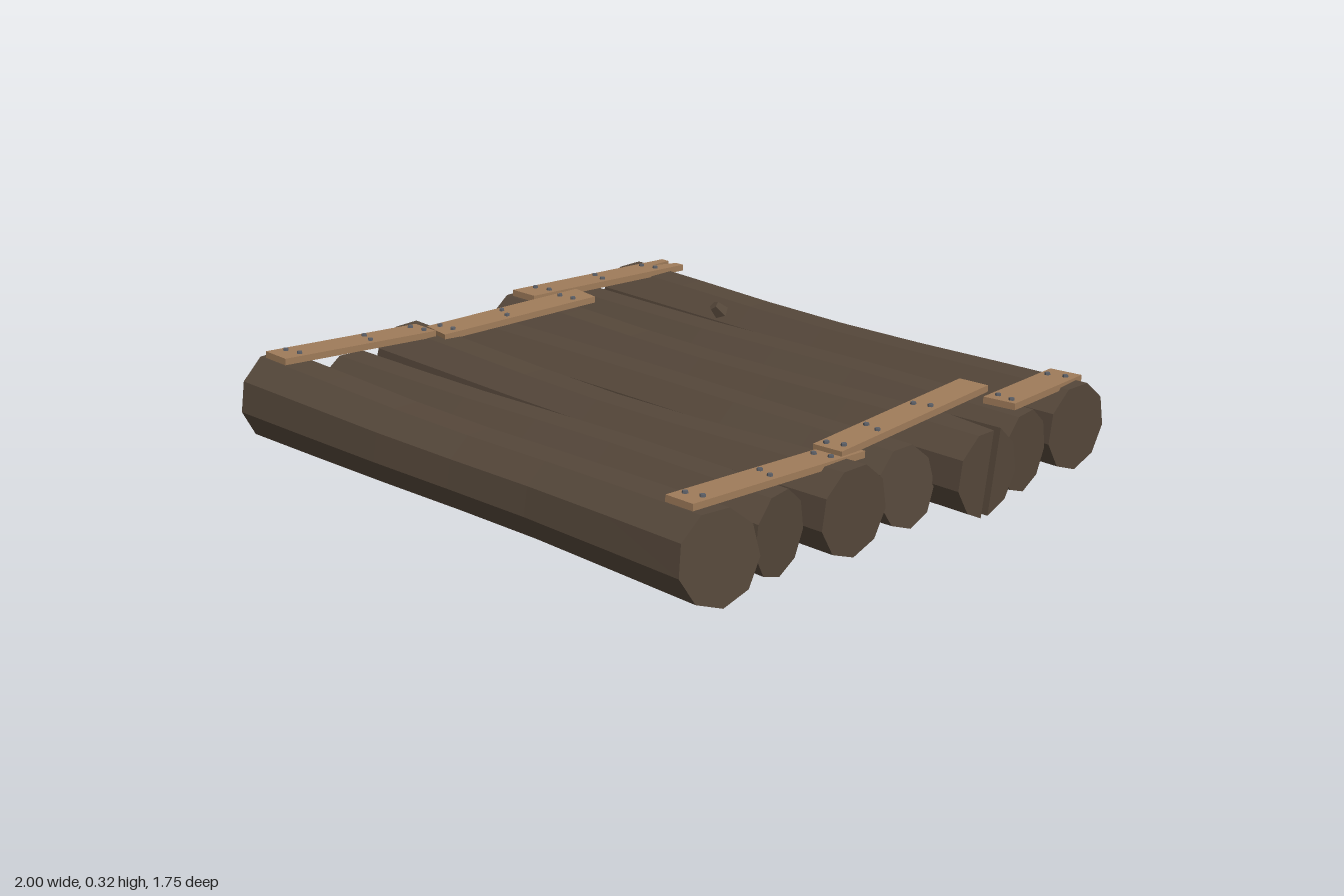
import * as THREE from 'three';

const SIDES = 9;
const bark = new THREE.MeshStandardMaterial({ color: 0x55473a, flatShading: true });
const timber = new THREE.MeshStandardMaterial({ color: 0xa07c5a, flatShading: true });
const iron = new THREE.MeshStandardMaterial({ color: 0x5c5f66, flatShading: true });

function addMesh(parent, name, geometry, material) {
  const mesh = new THREE.Mesh(geometry, material);
  mesh.name = name;
  parent.add(mesh);
  return mesh;
}

// Smooth value at t along evenly spaced control values
const sample = (values, t) =>
  new THREE.SplineCurve(values.map((v) => new THREE.Vector2(v, 0))).getPoint(t).x;

// Skin a list of equal-length rings running towards +x, with flat caps
function loft(rings) {
  const pos = [];
  const tri = (...p) => p.forEach((v) => pos.push(v.x, v.y, v.z));
  const n = rings[0].length;
  for (let i = 0; i < rings.length - 1; i++) {
    const a = rings[i], b = rings[i + 1];
    for (let j = 0; j < n; j++) {
      const k = (j + 1) % n;
      tri(a[j], b[j], a[k]);
      tri(a[k], b[j], b[k]);
    }
  }
  const first = rings[0], last = rings[rings.length - 1];
  for (let j = 1; j < n - 1; j++) {
    tri(first[0], first[j], first[j + 1]);
    tri(last[0], last[j + 1], last[j]);
  }
  const g = new THREE.BufferGeometry();
  g.setAttribute('position', new THREE.Float32BufferAttribute(pos, 3));
  g.computeVertexNormals();
  return g;
}

// One log section; the cut can lean with height and depth
function ring(x, y, z, r, [leanY, leanZ]) {
  return Array.from({ length: SIDES }, (_, j) => {
    const a = (j / SIDES) * Math.PI * 2;
    const dy = -Math.cos(a), dz = Math.sin(a);
    return new THREE.Vector3(x + leanY * dy + leanZ * dz, y + r * dy, z + r * dz);
  });
}

// A log from end to end, bending through z and y while its radius changes
function makeLog(name, x0, x1, z, r, y, leftLean, rightLean) {
  const log = new THREE.Group();
  log.name = name;
  const section = (t, lean) => ring(
    THREE.MathUtils.lerp(x0, x1, t), sample(y, t), sample(z, t), sample(r, t), lean);
  const rings = [section(0, leftLean)];
  for (let i = 1; i < 6; i++) rings.push(section(i / 6, [0, 0]));
  rings.push(section(1, rightLean));
  addMesh(log, 'trunk', loft(rings), bark);
  return { log, end: rings[6] };
}

// Continue a log end as two prongs with a wedge-shaped gap between them
function addSplitEnd(log, end, length) {
  [[0, 1, 2, 3, 4, 5], [5, 6, 7, 8, 0]].forEach((ids, side) => {
    const tip = ids.map((i) => {
      const p = end[i].clone();
      p.x += length;
      if (i === 0 || i === 5) p.z += side ? -0.008 : 0.022;
      return p;
    });
    addMesh(log, 'splitProng', loft([ids.map((i) => end[i]), tip]), bark);
  });
}

// A board between two [x, z] ends at heights y0 and y1, nailed in pairs at the given fractions
function makePlank(name, [x0, z0], [x1, z1], y0, y1, width, nailRows, notch = 0) {
  const plank = new THREE.Group();
  plank.name = name;
  const length = Math.hypot(x1 - x0, z1 - z0), h = width / 2, thick = 0.02;

  // Outline runs along local +z; a notch cuts a V into the starting end
  const shape = new THREE.Shape();
  shape.moveTo(-h, 0);
  shape.lineTo(-h, -length);
  shape.lineTo(h, -length);
  shape.lineTo(h, 0);
  if (notch) {
    shape.lineTo(h * 0.35, 0);
    shape.lineTo(-h * 0.15, -notch);
    shape.lineTo(-h * 0.4, 0);
  }
  const geo = new THREE.ExtrudeGeometry(shape, { depth: thick, bevelEnabled: false });
  geo.rotateX(-Math.PI / 2);
  addMesh(plank, 'board', geo, timber);

  // Nail heads, slightly staggered
  nailRows.forEach((t, row) => [-1, 1].forEach((s) => {
    const nail = addMesh(plank, 'nail', new THREE.CylinderGeometry(0.008, 0.01, 0.014, 6), iron);
    nail.position.set(s * width * 0.25, thick, t * length + s * (row % 2 ? 0.007 : -0.007));
  }));

  plank.position.set(x0, y0, z0);
  plank.rotation.order = 'YXZ';
  plank.rotation.y = Math.atan2(x1 - x0, z1 - z0);
  plank.rotation.x = -Math.atan2(y1 - y0, length);
  return plank;
}

export function createModel() {
  const raft = new THREE.Group();
  raft.name = 'logRaft';

  // Logs from back to front: ends, z bend, radius, centre height, leans of both cuts
  const straight = [0, 0];
  const addLog = (...args) => {
    const made = makeLog(...args);
    raft.add(made.log);
    return made;
  };
  addLog('log1', -0.96, 0.925, [-0.75, -0.736, -0.738, -0.75], [0.132, 0.118, 0.132],
    [0.15, 0.148, 0.147], [0.015, 0.005], straight);
  addLog('log2', -0.915, 0.93, [-0.5, -0.478, -0.497, -0.5], [0.119, 0.122, 0.122],
    [0.135, 0.14, 0.135], [0.015, -0.01], [0, 0.02]);
  const split = addLog('log3', -0.98, 0.82, [-0.25, -0.245, -0.248, -0.248], [0.131, 0.118, 0.128],
    [0.15, 0.145, 0.15], [0.02, 0.01], straight);
  addSplitEnd(split.log, split.end, 0.175);
  addLog('log4', -0.915, 0.9, [-0.015, -0.008, -0.003, -0.015], [0.121, 0.123, 0.117],
    [0.14, 0.146, 0.145], [0, 0.005], [-0.018, 0]);
  addLog('log5', -0.965, 0.925, [0.228, 0.238, 0.24, 0.23], [0.129, 0.115, 0.131],
    [0.15, 0.142, 0.146], [0.022, 0.01], straight);
  addLog('log6', -0.915, 0.885, [0.475, 0.49, 0.475, 0.48], [0.121, 0.114, 0.121],
    [0.123, 0.144, 0.14], [0.005, -0.01], [0, 0.025]);
  addLog('log7', -0.95, 0.91, [0.737, 0.735, 0.72, 0.732], [0.136, 0.123, 0.133],
    [0.157, 0.146, 0.15], [-0.005, 0.012], [-0.015, -0.018]);

  // Broken branch stub on the rear log
  const stub = addMesh(raft, 'branchStub', new THREE.CylinderGeometry(0.018, 0.032, 0.06, 5), bark);
  stub.position.set(-0.43, 0.235, -0.655);
  stub.rotation.set(0.7, 0, 0.3);

  // Planks tying the logs together along both sides
  raft.add(
    makePlank('leftBackPlank', [-0.842, -0.85], [-0.838, -0.17], 0.262, 0.292, 0.1, [0.17, 0.51, 0.88], 0.09),
    makePlank('leftMiddlePlank', [-0.7, -0.315], [-0.795, 0.232], 0.292, 0.262, 0.11, [0.13, 0.55, 0.93]),
    makePlank('leftFrontPlank', [-0.835, 0.24], [-0.858, 0.797], 0.265, 0.293, 0.102, [0.06, 0.4, 0.89]),
    makePlank('rightBackPlank', [0.828, -0.82], [0.88, -0.437], 0.258, 0.272, 0.104, [0.15, 0.92]),
    makePlank('rightMiddlePlank', [0.75, -0.485], [0.798, 0.2], 0.286, 0.268, 0.098, [0.37, 0.71, 0.95]),
    makePlank('rightFrontPlank', [0.805, 0.11], [0.812, 0.78], 0.25, 0.278, 0.098, [0.18, 0.52, 0.92]),
  );
  return raft;
}
